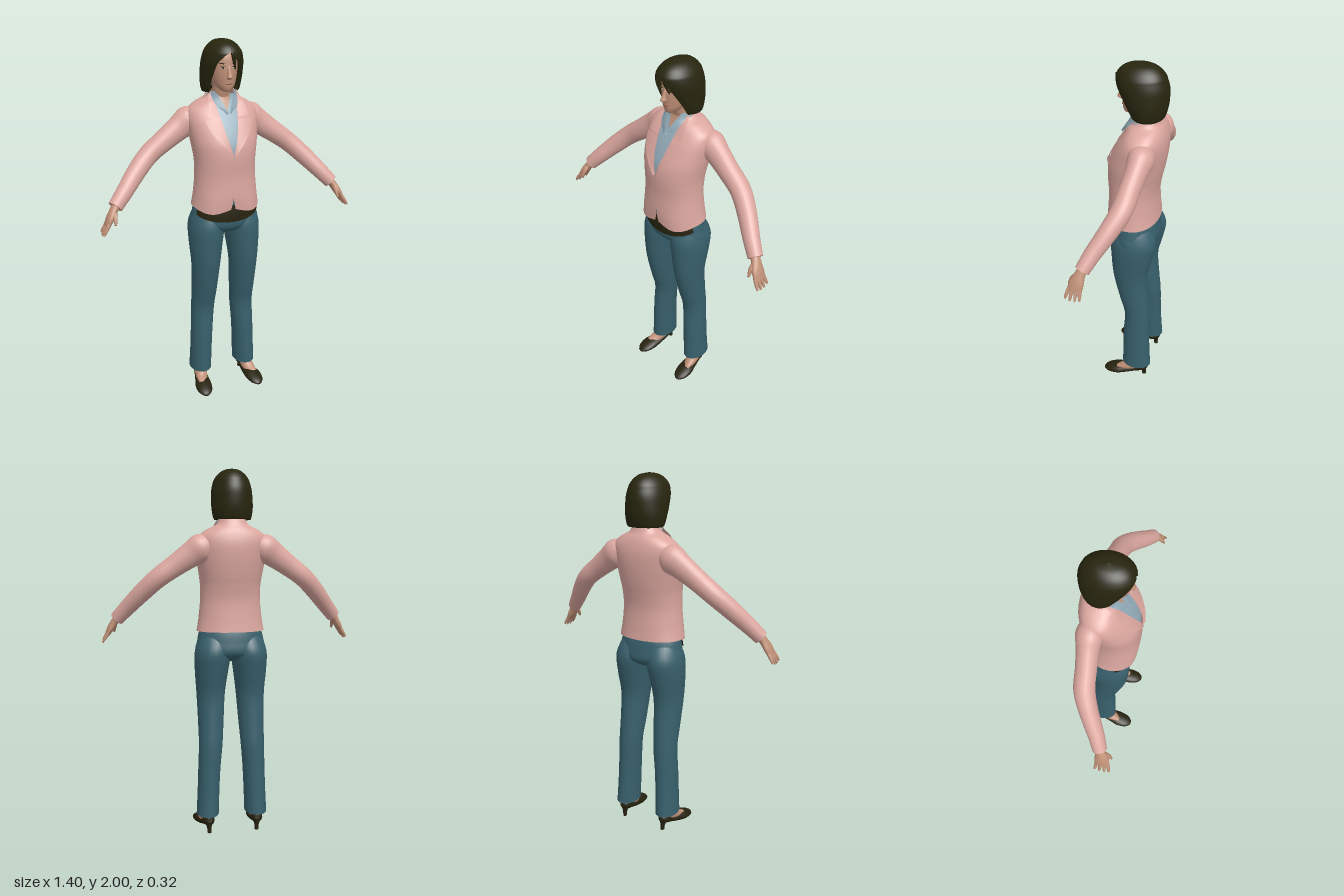
import * as THREE from 'three';
import { mergeGeometries } from 'three/addons/utils/BufferGeometryUtils.js';

const V = (x, y, z) => new THREE.Vector3(x, y, z);
const { smoothstep, lerp } = THREE.MathUtils;

// Catmull-Rom through the rows of a table, all columns at once, t in 0..1
function spline(rows, t) {
  const n = rows.length - 1, i = Math.min(n - 1, Math.floor(t * n)), f = t * n - i;
  const a = rows[Math.max(0, i - 1)], b = rows[i], c = rows[i + 1], d = rows[Math.min(n, i + 2)];
  return b.map((_, k) => b[k] + 0.5 * f * (c[k] - a[k] +
    f * (2 * a[k] - 5 * b[k] + 4 * c[k] - d[k] + f * (3 * (b[k] - c[k]) + d[k] - a[k]))));
}

// Parameter at which column `col` reaches height y
function tAt(rows, y, col = 0) {
  let lo = 0, hi = 1;
  for (let i = 0; i < 30; i++) {
    const m = (lo + hi) / 2;
    if (spline(rows, m)[col] < y) lo = m; else hi = m;
  }
  return lo;
}

// Surface from fn(u, v), optionally closed in u
function grid(fn, nu, nv, wrap = false) {
  const pos = [], idx = [], w = wrap ? nu : nu + 1;
  for (let j = 0; j <= nv; j++)
    for (let i = 0; i < w; i++) pos.push(...fn(i / nu, j / nv).toArray());
  for (let j = 0; j < nv; j++)
    for (let i = 0; i < nu; i++) {
      const a = j * w + i, b = j * w + (i + 1) % w;
      idx.push(a, b, b + w, a, b + w, a + w);
    }
  const g = new THREE.BufferGeometry();
  g.setAttribute('position', new THREE.Float32BufferAttribute(pos, 3));
  g.setIndex(idx);
  g.computeVertexNormals();
  return g;
}

// Capped elliptical loft; rows are [x, y, z, radius along ref, radius across]
function limb(rows, { ref = V(0, 0, 1), axis = null, nu = 20, nv = 24 } = {}) {
  const center = t => V(...spline(rows, t).slice(0, 3));
  const ring = (u, t) => {
    const r = spline(rows, t), a = u * Math.PI * 2;
    const T = axis || center(Math.min(1, t + 0.01)).sub(center(Math.max(0, t - 0.01))).normalize();
    const N = ref.clone().addScaledVector(T, -ref.dot(T)).normalize();
    const B = T.clone().cross(N);
    return V(r[0], r[1], r[2]).addScaledVector(N, Math.cos(a) * r[3]).addScaledVector(B, Math.sin(a) * r[4]);
  };
  return mergeGeometries([
    grid(ring, nu, nv, true),
    grid((u, v) => center(0).lerp(ring(u, 0), v), nu, 1, true),
    grid((u, v) => ring(u, 1).lerp(center(1), v), nu, 1, true),
  ]);
}

function mirrored(g) {
  const m = g.clone().scale(-1, 1, 1), ix = m.index.array;
  for (let i = 0; i < ix.length; i += 3) [ix[i], ix[i + 1]] = [ix[i + 1], ix[i]];
  m.computeVertexNormals();
  return m;
}

// Jacket profile: [y, half width, front z, back z, half opening]
const torso = [
  [1.135, 0.187, 0.142, -0.130, 0.012], [1.20, 0.176, 0.146, -0.124, 0], [1.30, 0.166, 0.143, -0.120, 0],
  [1.38, 0.166, 0.147, -0.132, 0], [1.43, 0.172, 0.146, -0.143, 0.003], [1.48, 0.180, 0.138, -0.152, 0.017],
  [1.54, 0.188, 0.115, -0.160, 0.033], [1.60, 0.194, 0.084, -0.162, 0.045], [1.645, 0.184, 0.055, -0.155, 0.053],
  [1.68, 0.140, 0.035, -0.143, 0.058], [1.705, 0.090, 0.022, -0.128, 0.060], [1.735, 0.072, 0.012, -0.116, 0.058],
];
const P = 0.92;
const pw = s => Math.sign(s) * Math.abs(s) ** P;
function torsoPoint(t, th, off = 0) {
  const [y, rx, zf, zb] = spline(torso, t);
  const c = Math.cos(th), front = Math.max(0, c), k = 1 - smoothstep(y, 1.13, 1.26);
  return V((rx + off) * pw(Math.sin(th)),
    y + off * 0.4 - k * 0.032 * front * Math.abs(Math.sin(2 * th)),
    (zf + zb) / 2 + ((zf - zb) / 2 + off) * pw(c) + k * 0.012 * front * Math.sin(2 * th) ** 2);
}
const angleOf = (x, rx) => Math.asin(Math.min(0.97, Math.max(0, x / rx)) ** (1 / P));
// Strip lying on the chest, on the +x side, between two x limits
function chestPatch(y0, y1, inner, outer, off) {
  const t0 = tAt(torso, y0), t1 = tAt(torso, y1);
  return grid((u, v) => {
    const t = lerp(t0, t1, v), [y, rx, , , w] = spline(torso, t);
    return torsoPoint(t, angleOf(lerp(inner(y, w), outer(y, w), u), rx), off(u));
  }, 6, 24);
}

export function createModel() {
  const group = new THREE.Group();
  const material = (name, color, side = THREE.FrontSide) => {
    const m = new THREE.MeshStandardMaterial({ color, side });
    m.name = name;
    return m;
  };
  const D = THREE.DoubleSide;
  const pink = material('jacket pink', 0xdba79f, D), teal = material('trouser teal', 0x38606c);
  const dark = material('dark hair', 0x28260f, D), skin = material('skin', 0xc09077, D);
  const blue = material('shirt blue', 0x92abb8, D), leather = material('dark leather', 0x272310, D);
  const lip = material('lips', 0xa4685a), white = material('eye white', 0xc9c0b4);
  const add = (name, geo, mat) => {
    const m = new THREE.Mesh(geo, mat);
    m.name = name;
    group.add(m);
  };
  const pair = (name, geo, mat) => {
    add(name + 'Left', geo, mat);
    add(name + 'Right', mirrored(geo), mat);
  };
  const up = V(0, 1, 0);

  // Trousers
  const hips = [[0, 0.965, -0.005, 0.03, 0.06], [0, 0.985, -0.005, 0.085, 0.13], [0, 1.02, -0.008, 0.122, 0.195],
    [0, 1.08, -0.003, 0.124, 0.186], [0, 1.13, 0, 0.118, 0.174], [0, 1.17, 0.005, 0.108, 0.155]];
  add('hips', limb(hips, { axis: up, nu: 36 }), teal);
  pair('trouserLeg', limb([
    [0.138, 0.10, -0.040, 0.086, 0.062], [0.133, 0.22, -0.037, 0.081, 0.061], [0.127, 0.36, -0.036, 0.077, 0.062],
    [0.119, 0.50, -0.038, 0.073, 0.066], [0.115, 0.62, -0.018, 0.083, 0.071], [0.112, 0.78, 0.004, 0.096, 0.079],
    [0.108, 0.91, -0.004, 0.115, 0.092], [0.101, 1.01, -0.012, 0.125, 0.100], [0.092, 1.08, -0.010, 0.105, 0.090],
    [0.085, 1.13, 0, 0.08, 0.075]], { axis: up, nu: 28, nv: 40 }), teal);
  // Dark waistband showing under the front of the jacket
  add('waistband', grid((u, v) => {
    const s = u * 2 - 1, a = s * 1.2, y = lerp(1.055 + 0.04 * s * s, 1.15, v);
    const r = spline(hips, tAt(hips, y, 1));
    return V((r[4] + 0.007) * Math.sin(a), y, r[2] + (r[3] + 0.007) * Math.cos(a));
  }, 28, 6), leather);

  // Feet and heeled shoes
  pair('foot', limb([[0.138, 0.15, -0.05, 0.040, 0.034], [0.142, 0.095, -0.032, 0.044, 0.035],
    [0.150, 0.058, 0.02, 0.030, 0.035], [0.157, 0.042, 0.075, 0.012, 0.028]]), skin);
  pair('shoe', limb([[0.135, 0.078, -0.108, 0.014, 0.014], [0.137, 0.073, -0.085, 0.030, 0.032],
    [0.142, 0.050, -0.03, 0.022, 0.035], [0.150, 0.036, 0.03, 0.027, 0.042], [0.158, 0.028, 0.08, 0.027, 0.048],
    [0.163, 0.020, 0.13, 0.018, 0.038], [0.166, 0.013, 0.158, 0.007, 0.014]], { ref: up }), leather);
  pair('heel', limb([[0.135, 0, -0.088, 0.012, 0.011], [0.136, 0.03, -0.086, 0.014, 0.013],
    [0.137, 0.07, -0.082, 0.026, 0.026]], { axis: up, nu: 12, nv: 6 }), leather);

  // Jacket body, open at the neck
  add('jacketBody', grid((u, v) => {
    const [, rx, , , w] = spline(torso, v), a = angleOf(w, rx);
    return torsoPoint(v, lerp(a, Math.PI * 2 - a, u));
  }, 64, 56), pink);
  pair('sleeve', limb([
    [0.12, 1.60, -0.075, 0.05, 0.05], [0.17, 1.583, -0.075, 0.068, 0.077], [0.23, 1.545, -0.070, 0.057, 0.067],
    [0.31, 1.49, -0.060, 0.053, 0.058], [0.40, 1.425, -0.048, 0.053, 0.053], [0.48, 1.35, -0.008, 0.048, 0.050],
    [0.56, 1.265, 0.045, 0.042, 0.044], [0.618, 1.202, 0.078, 0.037, 0.039]], { nu: 24, nv: 40 }), pink);
  // Lapels and collar with a notch between them
  const edge = (y, w) => w;
  pair('lapel', chestPatch(1.42, 1.60, edge, (y, w) => w + 0.075 * smoothstep(y, 1.38, 1.58), u => 0.003 + 0.008 * u), pink);
  pair('collar', chestPatch(1.612, 1.735, edge, (y, w) => w + 0.058 * (1.745 - y) / 0.133, u => 0.005 + 0.008 * u), pink);

  // Shirt with open neck
  const neckline = y => Math.max(0, (y - 1.635) * 0.42);
  pair('shirt', chestPatch(1.38, 1.725, neckline, (y, w) => w + 0.04, () => -0.010), blue);
  pair('shirtCollar', chestPatch(1.625, 1.735, y => neckline(y) + 0.004,
    y => neckline(y) + 0.012 + 0.03 * smoothstep(y, 1.62, 1.67), u => 0.014 - 0.008 * u), blue);
  pair('chest', chestPatch(1.58, 1.725, () => 0, (y, w) => w, () => -0.018), skin);
  add('neck', limb([[0, 1.60, -0.06, 0.05, 0.055], [0, 1.68, -0.055, 0.052, 0.052], [0, 1.74, -0.04, 0.05, 0.048],
    [0, 1.80, -0.03, 0.05, 0.048]], { axis: up }), skin);

  // Hands
  pair('palm', limb([[0.60, 1.222, 0.068, 0.025, 0.023], [0.628, 1.188, 0.084, 0.027, 0.021],
    [0.653, 1.148, 0.096, 0.038, 0.019], [0.672, 1.113, 0.101, 0.036, 0.013]]), skin);
  for (let i = 0; i < 4; i++) {
    const s = i - 1.5, long = 1 - 0.08 * s * s;
    pair('finger' + (i + 1), limb([[0.662, 1.13, 0.1 + s * 0.018, 0.010, 0.011],
      [0.683, 1.098, 0.104 + s * 0.022, 0.009, 0.009],
      [0.685 + 0.013 * long, 1.115 - 0.047 * long, 0.105 + s * 0.025, 0.005, 0.005]], { nu: 8, nv: 6 }), skin);
  }
  pair('thumb', limb([[0.628, 1.19, 0.09, 0.013, 0.013], [0.630, 1.160, 0.122, 0.012, 0.012],
    [0.634, 1.125, 0.142, 0.006, 0.006]], { ref: V(1, 0, 0), nu: 8, nv: 8 }), skin);

  // Head
  add('head', limb([[0, 1.738, 0.03, 0.008, 0.008], [0, 1.744, 0.028, 0.034, 0.025], [0, 1.765, 0.012, 0.058, 0.046],
    [0, 1.79, -0.005, 0.077, 0.060], [0, 1.83, -0.015, 0.089, 0.070], [0, 1.87, -0.020, 0.093, 0.074],
    [0, 1.92, -0.025, 0.090, 0.073], [0, 1.96, -0.030, 0.065, 0.055], [0, 1.975, -0.03, 0.01, 0.01]],
  { axis: up, nu: 32, nv: 36 }), skin);
  add('nose', limb([[0, 1.805, 0.074, 0.008, 0.010], [0, 1.815, 0.083, 0.018, 0.015], [0, 1.83, 0.079, 0.015, 0.011],
    [0, 1.865, 0.068, 0.010, 0.008], [0, 1.88, 0.062, 0.006, 0.006]], { axis: up, nu: 12, nv: 12 }), skin);
  const plate = (x, y, z, rx, ry, turn, tilt = 0) =>
    new THREE.SphereGeometry(1, 14, 8).scale(rx, ry, 0.004).rotateZ(tilt).rotateY(turn).translate(x, y, z);
  pair('eye', plate(0.031, 1.862, 0.0645, 0.013, 0.0055, 0.4), white);
  pair('iris', plate(0.030, 1.862, 0.0675, 0.005, 0.005, 0.4), dark);
  pair('eyelid', plate(0.031, 1.868, 0.066, 0.014, 0.002, 0.4), dark);
  pair('eyebrow', plate(0.033, 1.884, 0.063, 0.017, 0.0028, 0.42, 0.08), dark);
  add('mouth', plate(0, 1.784, 0.0705, 0.021, 0.006, 0), lip);

  // Bobbed hair: [y, half width, front z, back z, opening angle left, opening angle right]
  const hair = [
    [1.75, 0.070, 0, -0.120, 0.95, 0.95], [1.733, 0.098, 0.025, -0.140, 0.90, 0.90], [1.79, 0.110, 0.055, -0.157, 0.72, 0.80],
    [1.85, 0.110, 0.085, -0.162, 0.55, 0.70], [1.89, 0.107, 0.100, -0.160, 0.38, 0.60], [1.925, 0.099, 0.104, -0.150, 0.10, 0.30],
    [1.945, 0.091, 0.098, -0.142, 0, 0], [1.972, 0.070, 0.075, -0.118, 0, 0], [1.992, 0.040, 0.035, -0.082, 0, 0],
    [2.0, 0.002, -0.02, -0.024, 0, 0]];
  add('hair', grid((u, v) => {
    const [y, rx, zf, zb, l, r] = spline(hair, v);
    const a = lerp(Math.max(0, l), Math.PI * 2 - Math.max(0, r), u);
    return V(rx * Math.sin(a), y, (zf + zb) / 2 + (zf - zb) / 2 * Math.cos(a));
  }, 48, 48), dark);
  add('hairStrand', limb([[0.012, 1.94, 0.095, 0.008, 0.012], [0.020, 1.90, 0.090, 0.006, 0.009],
    [0.034, 1.855, 0.076, 0.002, 0.003]], { nu: 8, nv: 8 }), dark);

  return group;
}
